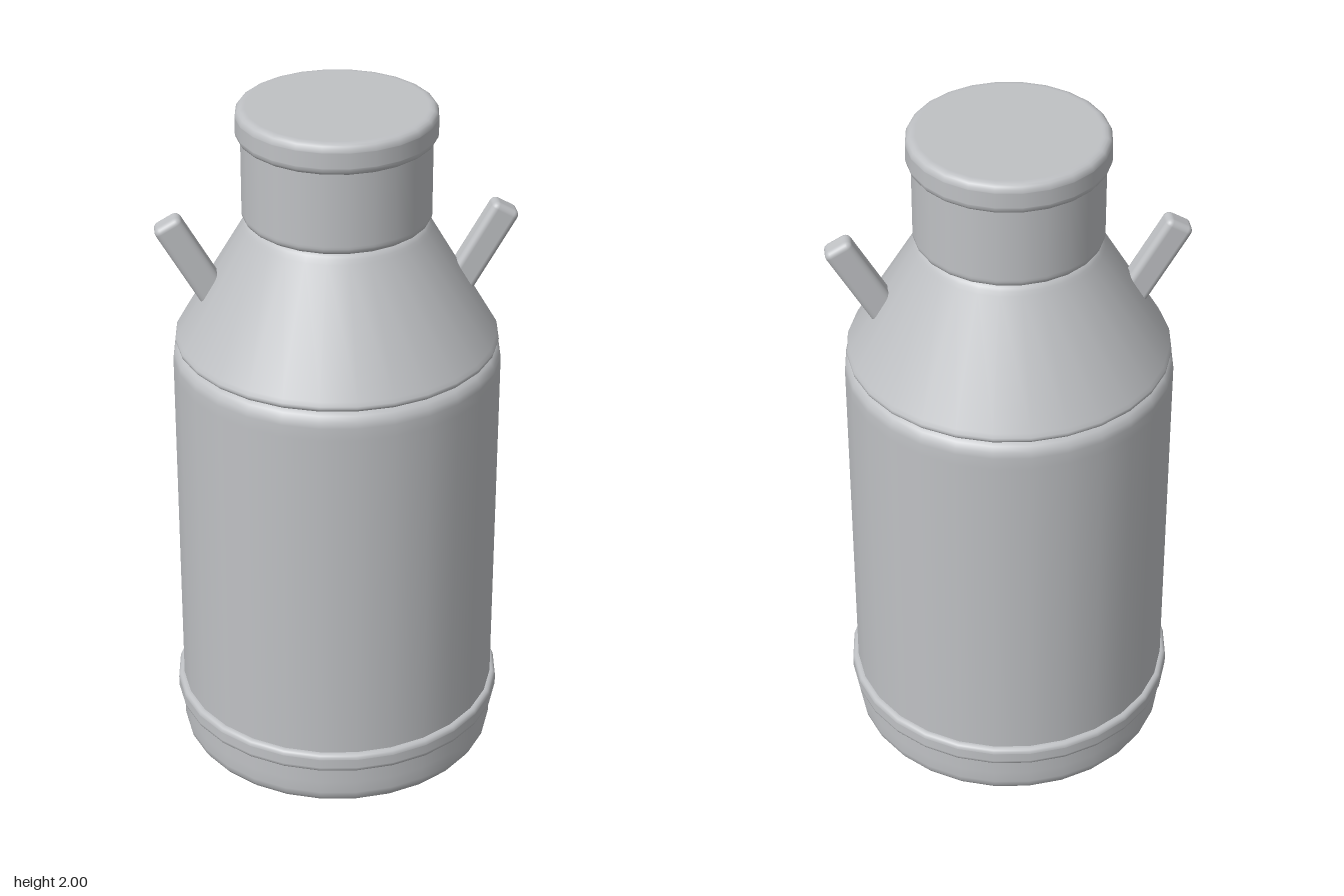
import * as THREE from 'three';
import { RoundedBoxGeometry } from 'three/addons/geometries/RoundedBoxGeometry.js';

const metal = new THREE.MeshStandardMaterial({ color: 0xbfc1c4 });
metal.name = 'milk can metal';

// Closed solid of revolution; rounds both rims. Extra points beside each rim keep caps and walls crisp.
function roundedDrum(name, y0, y1, r0, r1, bevel0, bevel1, segments) {
  const pts = [new THREE.Vector2(0, y0), new THREE.Vector2(r0 - bevel0 - 0.006, y0)];
  const slope = (r1 - r0) / (y1 - y0);
  const wall = Math.atan(-slope); // tilt of the wall's normal
  const arc = (cx, cy, b, from, to) => {
    for (let i = 0; i <= 4; i++) {
      const a = from + (to - from) * i / 4;
      pts.push(new THREE.Vector2(cx + b * Math.cos(a), cy + b * Math.sin(a)));
    }
  };
  arc(r0 - bevel0, y0 + bevel0, bevel0, -Math.PI / 2, wall);
  const start = pts[pts.length - 1].clone();
  const mark = pts.length;
  arc(r1 - bevel1, y1 - bevel1, bevel1, wall, Math.PI / 2);
  const end = pts[mark].clone();
  pts.splice(mark, 0, start.clone().lerp(end, 0.03), start.clone().lerp(end, 0.97));
  pts.push(new THREE.Vector2(r1 - bevel1 - 0.006, y1), new THREE.Vector2(0, y1));
  const mesh = new THREE.Mesh(new THREE.LatheGeometry(pts, segments), metal);
  mesh.name = name;
  return mesh;
}

export function createModel() {
  const can = new THREE.Group();
  can.name = 'milkCan';

  // Stacked round parts, bottom to top
  can.add(
    roundedDrum('body', 0, 1.305, 0.463, 0.463, 0.045, 0.045, 28),
    roundedDrum('baseBand', 0.13, 0.19, 0.48, 0.48, 0.015, 0.015, 28),
    roundedDrum('shoulder', 1.305, 1.68, 0.456, 0.262, 0.012, 0.035, 28),
    roundedDrum('neck', 1.675, 1.93, 0.263, 0.263, 0.02, 0.01, 24),
    roundedDrum('lid', 1.91, 2.0, 0.277, 0.277, 0.022, 0.022, 24),
  );

  // Slanted bar handles on both sides, sunk into the shoulder
  const tilt = 0.52, length = 0.33;
  for (const [name, side] of [['leftHandle', 1], ['rightHandle', -1]]) {
    const handle = new THREE.Mesh(new RoundedBoxGeometry(0.083, length, 0.065, 3, 0.018), metal);
    const back = length / 2 - 0.015;
    handle.position.set(side * (0.466 - back * Math.sin(tilt)), 1.671 - back * Math.cos(tilt), 0);
    handle.rotation.z = -side * tilt;
    handle.name = name;
    can.add(handle);
  }
  return can;
}
